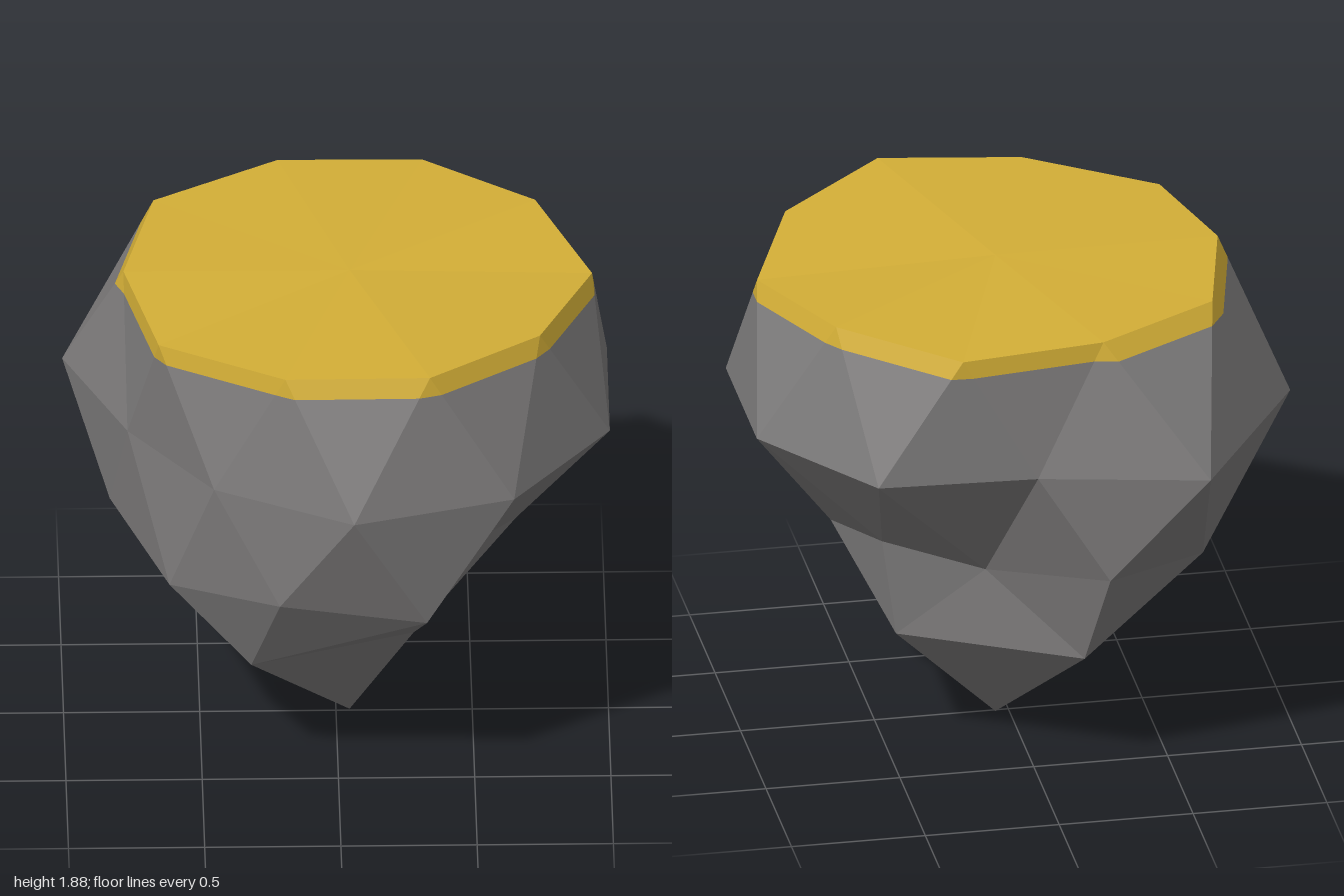
import * as THREE from 'three';

// Each ring runs round the rock from +x towards +z, in steps of 36 degrees (tip ring: 72).
const tip = [0.05, 0, -0.01];
const tipRing = [
  [0.28, 0.5, 0.3], [-0.32, 0.5, 0.53], [-0.46, 0.5, -0.01], [-0.16, 0.5, -0.66], [0.48, 0.5, -0.32],
];
const lowRing = [
  [0.66, 0.82, 0.02], [0.45, 0.9, 0.39], [0.32, 0.82, 0.79], [-0.22, 0.9, 0.8], [-0.62, 0.82, 0.49],
  [-0.83, 0.9, -0.01], [-0.63, 0.82, -0.51], [-0.22, 0.9, -0.85], [0.18, 0.82, -0.5], [0.54, 0.9, -0.36],
];
// The widest ring is turned by half a step
const wideRing = [
  [1, 0.29], [0.64, 0.79], [0.05, 0.97], [-0.46, 0.7], [-0.77, 0.26],
  [-1, -0.28], [-0.57, -0.98], [0.05, -0.85], [0.64, -0.82], [1, -0.32],
].map(([x, z]) => [x, 1.34, z]);
const rimRing = [
  [0.94, 1.835, -0.01], [0.74, 1.86, 0.49], [0.33, 1.88, 0.83], [-0.2, 1.855, 0.79], [-0.66, 1.84, 0.5],
  [-0.78, 1.86, -0.01], [-0.66, 1.855, -0.54], [-0.2, 1.86, -0.82], [0.33, 1.84, -0.85], [0.74, 1.86, -0.51],
];
const topCentre = [0.05, 1.857, -0.01];

const at = (ring, i) => ring[(i + ring.length) % ring.length];
const mix = (a, b, t) => a.map((v, i) => v + (b[i] - v) * t);

// Faceted mesh from a list of triangles
function facets(name, tris, material) {
  const geo = new THREE.BufferGeometry();
  geo.setAttribute('position', new THREE.Float32BufferAttribute(tris.flat(2), 3));
  geo.computeVertexNormals();
  const mesh = new THREE.Mesh(geo, material);
  mesh.name = name;
  return mesh;
}

export function createModel() {
  const stone = new THREE.MeshStandardMaterial({ color: 0x807e7e, flatShading: true });
  stone.name = 'stone grey';
  const gold = new THREE.MeshStandardMaterial({ color: 0xd4af37, flatShading: true });
  gold.name = 'golden ground';

  const under = [], upper = [], edge = [], top = [];

  // Pointed underside: tip fan, then the facets up to the low ring
  for (let k = 0; k < 5; k++) {
    const a = tipRing[k], b = at(tipRing, k + 1);
    const before = lowRing[2 * k], mid = lowRing[2 * k + 1], after = at(lowRing, 2 * k + 2);
    under.push([tip, a, b], [a, after, b], [a, before, mid], [a, mid, after]);
  }

  const BAND = 0.14; // share of each upper facet that is golden
  for (let j = 0; j < 10; j++) {
    const wPrev = at(wideRing, j - 1), w = wideRing[j];
    const low = lowRing[j], lowNext = at(lowRing, j + 1);
    const rim = rimRing[j], rimNext = at(rimRing, j + 1);

    // Bulge from the low ring to the widest ring
    under.push([low, wPrev, w], [low, w, lowNext]);

    // Upper wall, cut off below the golden band
    const cutA = mix(rim, wPrev, BAND), cutB = mix(rim, w, BAND), cutC = mix(rimNext, w, BAND);
    upper.push([w, cutB, cutC], [wPrev, cutA, cutB], [wPrev, cutB, w]);

    // Golden band and flat top
    edge.push([cutA, rim, cutB], [cutB, rim, rimNext], [cutB, rimNext, cutC]);
    top.push([topCentre, rimNext, rim]);
  }

  const island = new THREE.Group();
  island.name = 'floatingRock';
  island.add(
    facets('rockUnderside', under, stone),
    facets('rockWall', upper, stone),
    facets('groundEdge', edge, gold),
    facets('groundTop', top, gold),
  );
  return island;
}
